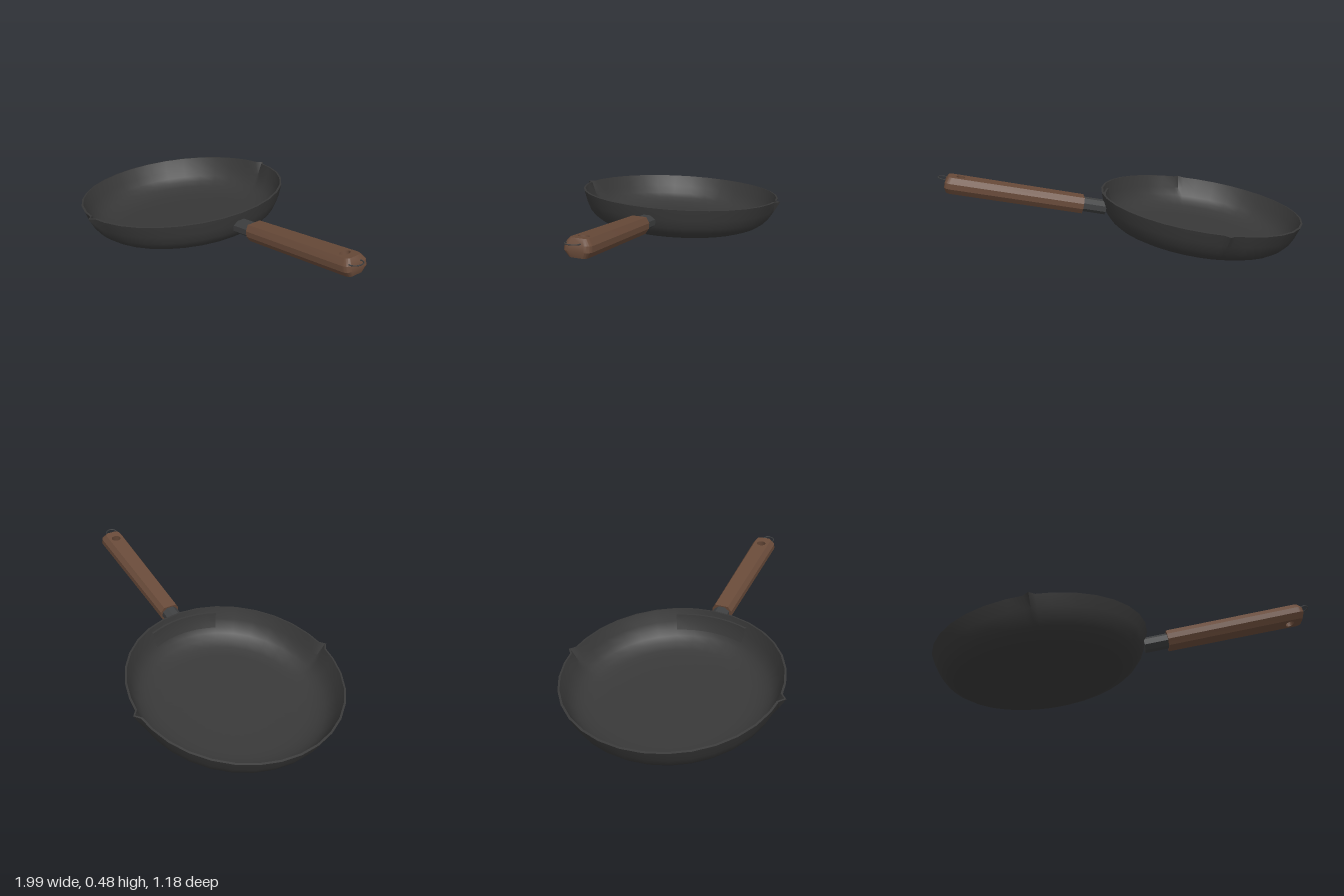
import * as THREE from 'three';
import { toCreasedNormals } from 'three/addons/utils/BufferGeometryUtils.js';

const deg = THREE.MathUtils.degToRad;
const V = (x, y) => new THREE.Vector2(x, y);

const material = (name, color, extra = {}) => {
  const m = new THREE.MeshStandardMaterial({ color, ...extra });
  m.name = name;
  return m;
};

function part(name, geometry, mat) {
  const mesh = new THREE.Mesh(geometry, mat);
  mesh.name = name;
  return mesh;
}

// Bowl: lathe with a small pouring lip pinched out at each side
function bowlGeometry() {
  const profile = [
    [0, -0.193], [0.25, -0.193], [0.38, -0.192], [0.43, -0.186], [0.482, -0.166], [0.515, -0.142],
    [0.54, -0.112], [0.562, -0.065], [0.583, 0], [0.572, 0.002],
    [0.549, -0.065], [0.527, -0.108], [0.502, -0.135], [0.468, -0.156],
    [0.42, -0.172], [0.36, -0.178], [0.2, -0.179], [0, -0.179],
  ].map(([x, y]) => V(x, y));
  const angles = [3, 177, 183, 357];
  for (let i = 0; i <= 32; i++) angles.push(i * 11.25);
  angles.sort((a, b) => a - b);

  const geo = new THREE.LatheGeometry(profile, angles.length - 1);
  const pos = geo.attributes.position;
  angles.forEach((angle, i) => profile.forEach((p, j) => {
    const lip = angle % 180 === 0 ? 0.027 * Math.max(0, 1 + p.y / 0.15) ** 1.5 : 0;
    const r = p.x + lip, a = deg(angle);
    pos.setXYZ(i * profile.length + j, r * Math.sin(a), p.y, r * Math.cos(a));
  }));
  return toCreasedNormals(geo, 0.75);
}

// Curved plate that holds the handle, lying on the inner wall
function bracketGeometry() {
  const profile = [
    [0.562, -0.025], [0.551, -0.025], [0.54, -0.065], [0.518, -0.106], [0.530, -0.108],
  ].map(([x, y]) => V(x, y));
  const geo = new THREE.LatheGeometry(profile, 8, Math.PI / 2 - deg(22), deg(44));
  return toCreasedNormals(geo, 0.6);
}

// Wooden grip: extruded plan with a hanging hole, outer edges chamfered
function gripGeometry(length, height) {
  const shape = new THREE.Shape();
  shape.moveTo(0, -0.058);
  shape.lineTo(length - 0.035, -0.067);
  shape.quadraticCurveTo(length, -0.067, length, -0.035);
  shape.lineTo(length, 0.035);
  shape.quadraticCurveTo(length, 0.067, length - 0.035, 0.067);
  shape.lineTo(0, 0.058);
  shape.closePath();
  const holeX = length - 0.08;
  const hole = new THREE.Path();
  hole.absellipse(holeX, 0, 0.023, 0.028, 0, Math.PI * 2, true);
  shape.holes.push(hole);

  const geo = new THREE.ExtrudeGeometry(shape, { depth: height, steps: 3, bevelEnabled: false, curveSegments: 8 });
  geo.translate(0, 0, -height / 2);
  const pos = geo.attributes.position;
  for (let i = 0; i < pos.count; i++) {
    const x = pos.getX(i), y = pos.getY(i);
    const onCap = Math.abs(pos.getZ(i)) > height * 0.4;
    if (!onCap || Math.hypot(x - holeX, y) < 0.04) continue;
    pos.setY(i, y * 0.68);
    if (x > length - 0.04) pos.setX(i, x - 0.014);
  }
  geo.rotateX(-Math.PI / 2);
  return toCreasedNormals(geo, 0.5);
}

export function createModel() {
  const iron = material('dark iron', 0x383838, { side: THREE.DoubleSide });
  const steel = material('grey steel', 0x3e3f40);
  const wood = material('brown wood', 0x684a39);

  // Pan leans up toward its handle
  const pan = new THREE.Group();
  pan.name = 'fryingPan';
  pan.rotation.set(0, -deg(14.7), deg(8.9), 'YZX');
  pan.position.set(-0.42, 0.253, 0);
  pan.add(part('bowl', bowlGeometry(), iron));
  pan.add(part('handleBracket', bracketGeometry(), iron));

  // Handle assembly, angled slightly up from the bowl
  const handle = new THREE.Group();
  handle.name = 'handle';
  handle.position.set(0.683, -0.074, 0);
  handle.rotation.z = deg(3.1);
  const length = 0.76;
  handle.add(part('grip', gripGeometry(length, 0.09), wood));

  // Eight-sided metal neck between bowl and grip
  const neckGeo = new THREE.CylinderGeometry(0.54, 0.54, 0.15, 8);
  neckGeo.rotateY(Math.PI / 8).rotateZ(Math.PI / 2).scale(1, 0.075, 0.09);
  const neck = part('neck', toCreasedNormals(neckGeo, 0.5), steel);
  neck.position.x = -0.055;
  handle.add(neck);

  // Thin hanging loop at the end of the grip
  const loop = part('hangingLoop', new THREE.TorusGeometry(0.035, 0.003, 6, 24), steel);
  loop.rotation.x = Math.PI / 2;
  loop.position.set(length + 0.004, 0.022, 0.015);
  handle.add(loop);

  pan.add(handle);
  const model = new THREE.Group();
  model.name = 'model';
  model.add(pan);
  return model;
}
